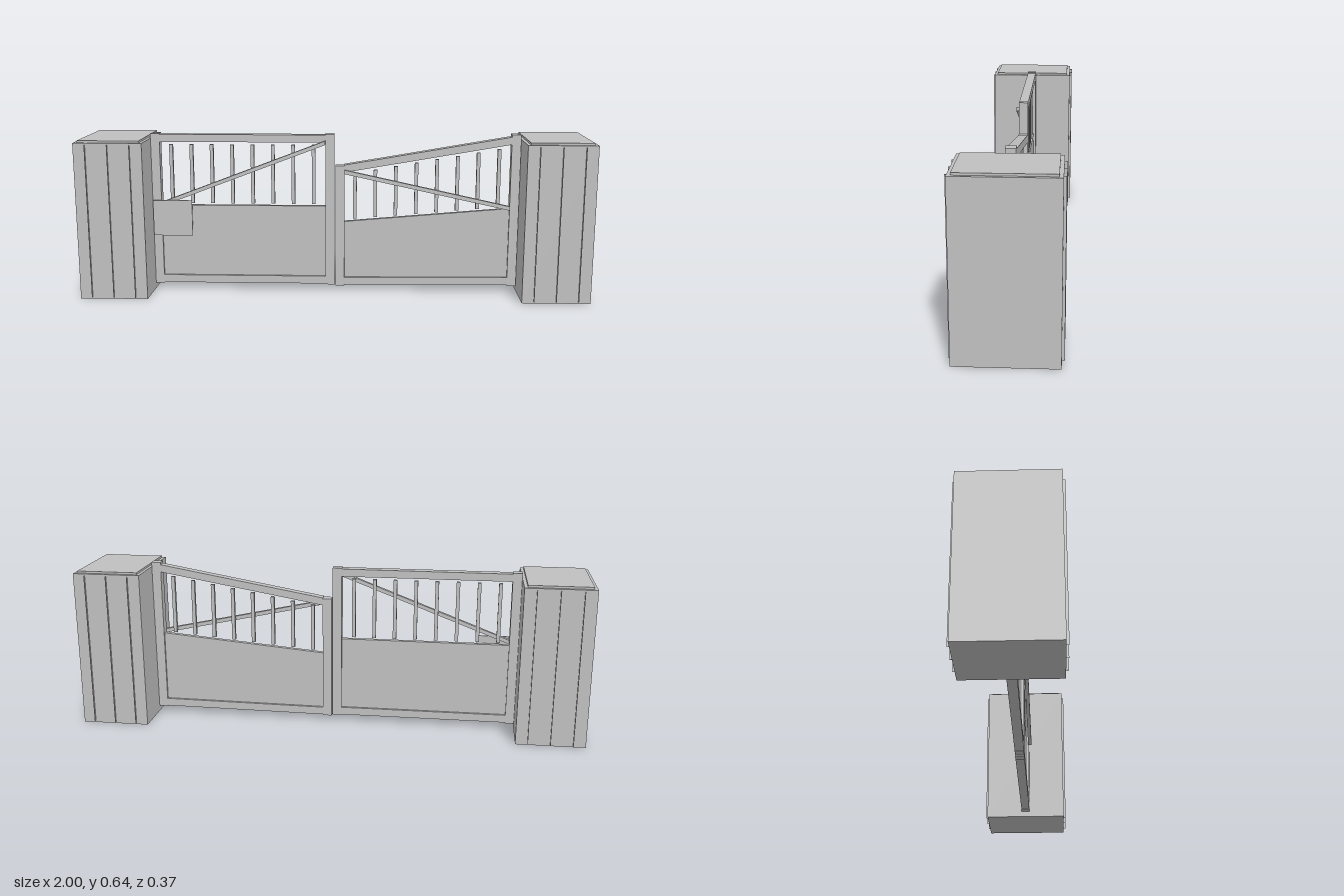
import * as THREE from 'three';

const grey = new THREE.MeshStandardMaterial({ color: 0xc0c0c0 });
grey.name = 'plain grey';

// Axis-aligned block given by its limits
function block(name, x0, x1, y0, y1, z0, z1) {
  const mesh = new THREE.Mesh(new THREE.BoxGeometry(x1 - x0, y1 - y0, z1 - z0), grey);
  mesh.position.set((x0 + x1) / 2, (y0 + y1) / 2, (z0 + z1) / 2);
  mesh.name = name;
  return mesh;
}

// Four-sided plate between two upright ends, each with its own bottom and top
function slopedPlate(name, [xa, bottomA, topA], [xb, bottomB, topB], z0, z1) {
  const shape = new THREE.Shape([
    new THREE.Vector2(xa, bottomA), new THREE.Vector2(xb, bottomB),
    new THREE.Vector2(xb, topB), new THREE.Vector2(xa, topA),
  ]);
  const geometry = new THREE.ExtrudeGeometry(shape, { depth: z1 - z0, bevelEnabled: false });
  geometry.translate(0, 0, z0);
  const mesh = new THREE.Mesh(geometry, grey);
  mesh.name = name;
  return mesh;
}

// Pillar with an inset cap and narrow upright fins front and back
function pillar(name, side) {
  const group = new THREE.Group();
  group.name = name;
  group.add(block('pillarBody', -0.133, 0.133, 0, 0.619, -0.175, 0.175));
  group.add(block('pillarCap', -0.12, 0.12, 0.619, 0.627, -0.162, 0.162));
  for (const x of [-0.086, 0, 0.086]) {
    group.add(block('frontFin', x - 0.001, x + 0.001, 0.007, 0.612, 0.175, 0.184));
    group.add(block('backFin', x - 0.001, x + 0.001, 0.007, 0.612, -0.184, -0.175));
  }
  group.position.x = side * 0.867;
  return group;
}

// Gate leaf: top, panel and bottom heights are functions of x
function gateLeaf(name, spec) {
  const { x0, x1, top, panelTop, base, firstBar, brace } = spec;
  const group = new THREE.Group();
  group.name = name;
  const w = 0.036, front = 0.018, back = -0.018;
  const ends = [x0 + w, x1 - w];
  group.add(block('leftPost', x0, x0 + w, base(x0), top(x0) + 0.003, back, front));
  group.add(block('rightPost', x1 - w, x1, base(x1), top(x1) + 0.003, back, front));

  const span = (part, low, high, z0, z1) => slopedPlate(part,
    ...ends.map((x) => [x, low(x), high(x)]), z0, z1);
  group.add(span('topRail', (x) => top(x) - 0.03, top, back, front));
  group.add(span('bottomRail', (x) => base(x) + 0.003, (x) => base(x) + 0.034, back, front));
  group.add(span('panel', (x) => base(x) + 0.03, panelTop, -0.009, 0.009));

  // Upright bars above the panel
  for (let i = 0; i < 8; i++) {
    const x = firstBar + i * 0.0815;
    group.add(slopedPlate('bar',
      [x - 0.007, panelTop(x) + 0.008, top(x) - 0.042],
      [x + 0.007, panelTop(x) + 0.008, top(x) - 0.042], -0.007, 0.007));
  }

  // Diagonal brace on the front
  const [ya, yb] = brace;
  group.add(slopedPlate('brace',
    [ends[0], ya - 0.008, ya + 0.008], [ends[1], yb - 0.008, yb + 0.008], 0.014, 0.03));
  return group;
}

export function createModel() {
  const model = new THREE.Group();
  model.name = 'drivewayGate';
  model.add(pillar('rightPillar', -1), pillar('leftPillar', 1));

  model.add(gateLeaf('levelLeaf', {
    x0: -0.735, x1: -0.002,
    top: () => 0.634, panelTop: () => 0.346, base: () => 0.022,
    firstBar: -0.656, brace: [0.352, 0.604],
  }));
  model.add(gateLeaf('slopedLeaf', {
    x0: 0.002, x1: 0.732,
    top: (x) => 0.508 + 0.174 * x,
    panelTop: (x) => 0.28 + 0.088 * x,
    base: (x) => 0.018 + 0.008 * x,
    firstBar: 0.08, brace: [0.488, 0.345],
  }));

  // Thin sign plate in front of the level leaf
  model.add(block('signPlate', -0.73, -0.573, 0.226, 0.37, 0.03, 0.036));
  return model;
}
